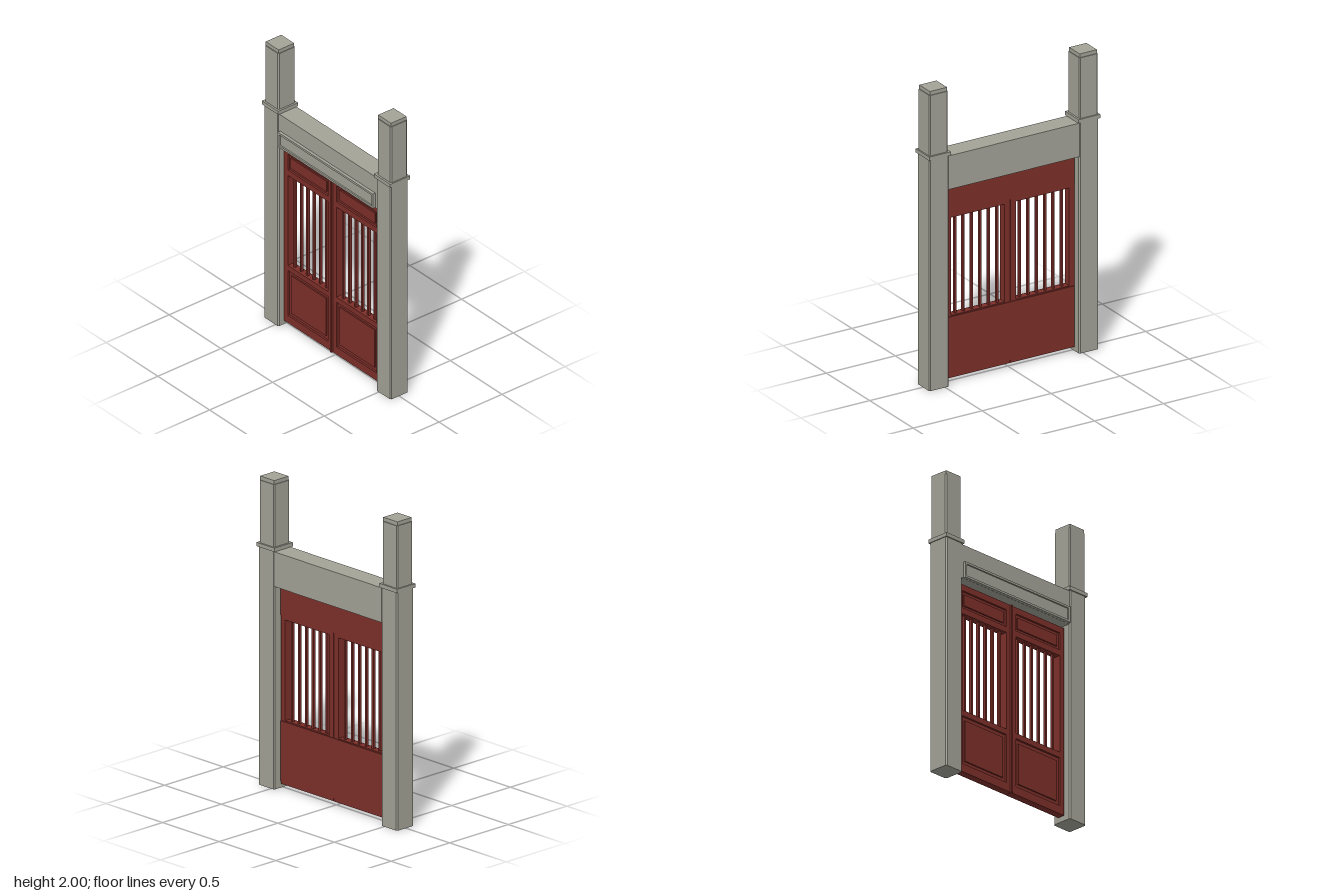
import * as THREE from 'three';

const stone = new THREE.MeshStandardMaterial({ color: 0xa3a398 });
stone.name = 'grey stone';
const paint = new THREE.MeshStandardMaterial({ color: 0x7d2f29 });
paint.name = 'red painted wood';

function add(parent, name, geometry, material) {
  const mesh = new THREE.Mesh(geometry, material);
  mesh.name = name;
  parent.add(mesh);
  return mesh;
}

// Box given by its lower and upper limits on each axis
function box(parent, name, material, x0, x1, y0, y1, z0, z1) {
  const mesh = add(parent, name, new THREE.BoxGeometry(x1 - x0, y1 - y0, z1 - z0), material);
  mesh.position.set((x0 + x1) / 2, (y0 + y1) / 2, (z0 + z1) / 2);
  return mesh;
}

// Upright square post with narrow chamfered corners
function post(parent, name, x0, x1, y0, y1, z0, z1, c) {
  const s = new THREE.Shape([
    [x0 + c, -z0], [x0, -z0 - c], [x0, -z1 + c], [x0 + c, -z1],
    [x1 - c, -z1], [x1, -z1 + c], [x1, -z0 - c], [x1 - c, -z0],
  ].map(([x, y]) => new THREE.Vector2(x, y)));
  const g = new THREE.ExtrudeGeometry(s, { depth: y1 - y0, bevelEnabled: false });
  g.rotateX(-Math.PI / 2).translate(0, y0, 0);
  add(parent, name, g, stone);
}

// Rectangular ring of the given border width, facing z
function ring(parent, name, material, x0, x1, y0, y1, z0, z1, w) {
  const rect = (a, b, c, d) => [[a, c], [b, c], [b, d], [a, d]].map(([x, y]) => new THREE.Vector2(x, y));
  const s = new THREE.Shape(rect(x0, x1, y0, y1));
  s.holes.push(new THREE.Path(rect(x0 + w, x1 - w, y0 + w, y1 - w)));
  const g = new THREE.ExtrudeGeometry(s, { depth: z1 - z0, bevelEnabled: false });
  add(parent, name, g.translate(0, 0, z0), material);
}

function makePillar(side) {
  const g = new THREE.Group();
  g.name = side > 0 ? 'leftPillar' : 'rightPillar';
  const span = (a, b) => (side > 0 ? [a, b] : [-b, -a]);
  post(g, 'pillarShaft', ...span(0.472, 0.614), 0, 1.55, -0.075, 0.067, 0.008);
  box(g, 'pillarCollar', stone, ...span(0.463, 0.62), 1.545, 1.57, -0.082, 0.075);
  post(g, 'upperShaft', ...span(0.476, 0.611), 1.565, 1.975, -0.071, 0.062, 0.008);
  box(g, 'pillarTop', stone, ...span(0.481, 0.606), 1.97, 2, -0.066, 0.057);
  return g;
}

function makeLeaf(side) {
  const g = new THREE.Group();
  g.name = side > 0 ? 'leftLeaf' : 'rightLeaf';
  const b = (name, x0, x1, ...rest) =>
    box(g, name, paint, side > 0 ? x0 : -x1, side > 0 ? x1 : -x0, ...rest);
  const back = -0.025, front = 0.025;

  // Stiles and rails
  b('innerStile', 0.001, 0.041, 0.03, 1.297, back, front);
  b('outerStile', 0.428, 0.465, 0.03, 1.297, back, front);
  for (const [y0, y1] of [[0.03, 0.085], [0.41, 0.447], [1.1, 1.14], [1.255, 1.297]]) {
    b('rail', 0.041, 0.428, y0, y1, back, front);
  }

  // Sunken panels with a raised centre, closed flat at the back
  for (const [y0, y1, inset] of [[0.085, 0.41, 0.026], [1.14, 1.255, 0.02]]) {
    b('sunkenPanel', 0.041, 0.428, y0, y1, back, 0.012);
    b('raisedField', 0.041 + inset, 0.428 - inset, y0 + inset, y1 - inset, 0.01, 0.021);
  }
  b('lowerBackBoard', 0.001, 0.465, 0.05, 0.44, -0.03, back);
  b('upperBackBoard', 0.001, 0.465, 1.125, 1.297, -0.03, back);

  // Window bars
  for (let i = 0; i < 6; i++) {
    const x = 0.081 + i * 0.0613;
    b('windowBar', x - 0.007, x + 0.007, 0.44, 1.105, -0.009, 0.009);
  }

  // Hinges
  for (const y of [0.17, 1.005]) b('hinge', 0.462, 0.478, y - 0.03, y + 0.03, -0.018, 0.006);
  return g;
}

export function createModel() {
  const model = new THREE.Group();
  model.name = 'gate';
  for (const side of [1, -1]) model.add(makePillar(side));

  // Lintel with a framed plaque on the front
  box(model, 'lintel', stone, -0.475, 0.475, 1.317, 1.542, -0.074, 0.062);
  box(model, 'plaquePanel', stone, -0.447, 0.447, 1.325, 1.418, 0.06, 0.072);
  ring(model, 'plaqueFrame', stone, -0.46, 0.46, 1.318, 1.424, 0.061, 0.082, 0.014);

  // Double door with a cover strip over the joint
  const doors = new THREE.Group();
  doors.name = 'doors';
  doors.position.x = -0.002;
  for (const side of [1, -1]) doors.add(makeLeaf(side));
  box(doors, 'coverStrip', paint, -0.009, 0.006, 0.03, 1.297, 0.02, 0.036);
  model.add(doors);
  return model;
}
